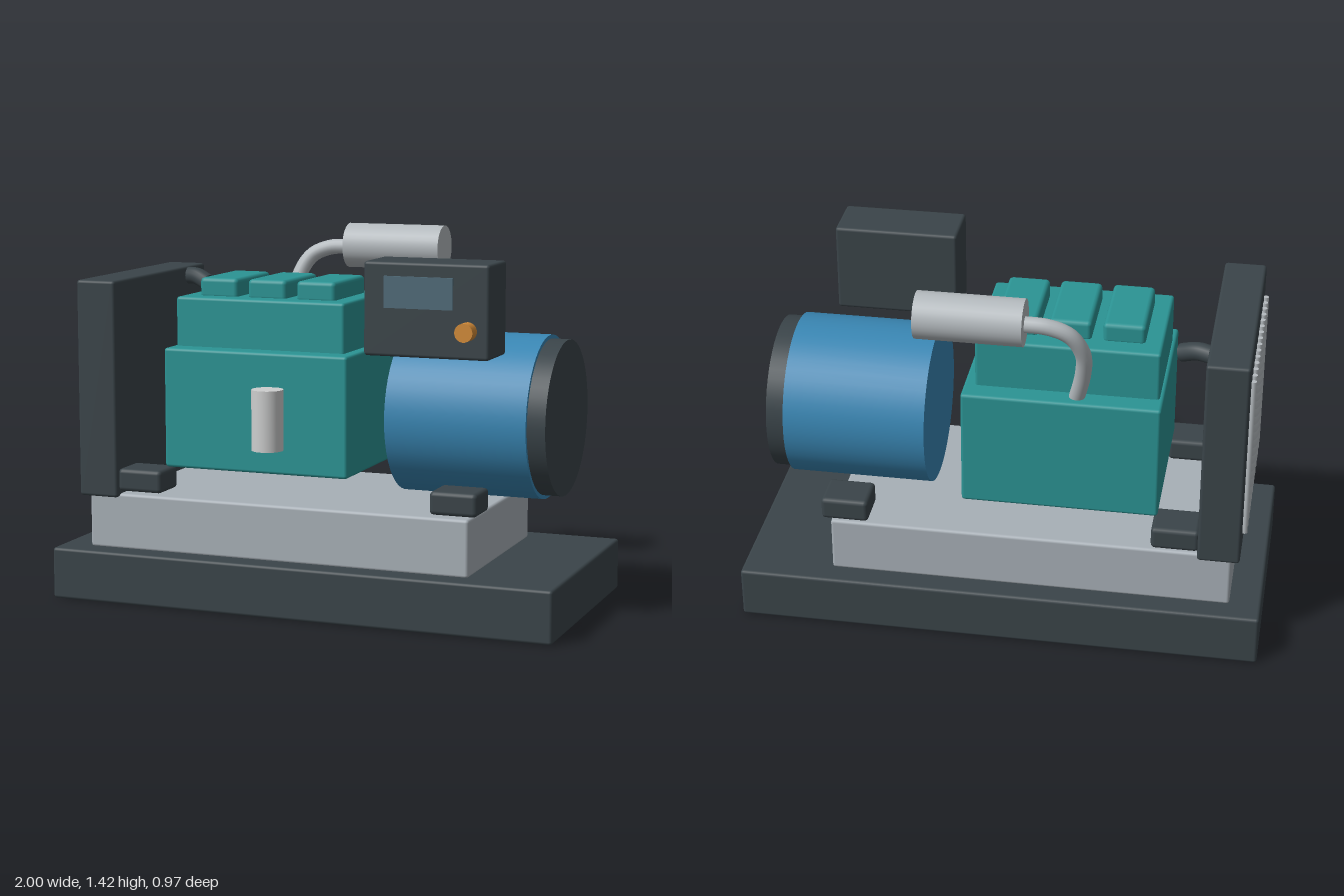
import * as THREE from 'three';
import { RoundedBoxGeometry } from 'three/addons/geometries/RoundedBoxGeometry.js';

const Z0 = -0.007; // centre line of the machine

const mat = (name, color) => {
  const m = new THREE.MeshStandardMaterial({ color });
  m.name = name;
  return m;
};

export function createModel() {
  const dark = mat('charcoal', 0x3a4449);
  const teal = mat('teal', 0x2b9494);
  const blue = mat('blue', 0x3986b3);
  const steel = mat('steel', 0xa8b0b7);
  const pipeGrey = mat('exhaust grey', 0xb4babe);
  const pale = mat('pale grey', 0xcdcece);
  const glass = mat('display', 0x4f6a77);
  const orange = mat('orange', 0xd18a38);

  const model = new THREE.Group();
  model.name = 'generator';

  const add = (name, geometry, material, x = 0, y = 0, z = 0) => {
    const mesh = new THREE.Mesh(geometry, material);
    mesh.name = name;
    mesh.position.set(x, y, z);
    model.add(mesh);
    return mesh;
  };
  // Softened box given by its limits in x, y and z
  const box = (name, material, [x0, x1], [y0, y1], [z0, z1], r = 0.012) =>
    add(name, new RoundedBoxGeometry(x1 - x0, y1 - y0, z1 - z0, 2, r), material,
      (x0 + x1) / 2, (y0 + y1) / 2, (z0 + z1) / 2);
  const centred = (half) => [Z0 - half, Z0 + half];
  // Cylinder lying along x
  const drum = (name, material, x0, x1, y, z, r, sides = 48) =>
    add(name, new THREE.CylinderGeometry(r, r, x1 - x0, sides).rotateZ(Math.PI / 2),
      material, (x0 + x1) / 2, y, z);
  const tube = (name, material, points, r) => {
    const curve = new THREE.CatmullRomCurve3(points.map((p) => new THREE.Vector3(...p)));
    add(name, new THREE.TubeGeometry(curve, 32, r, 16), material);
    // Closed ends
    for (const [t, sign] of [[0, -1], [1, 1]]) {
      const end = curve.getPoint(t);
      const disc = add(name + 'End', new THREE.CircleGeometry(r, 16), material, end.x, end.y, end.z);
      disc.lookAt(end.clone().addScaledVector(curve.getTangent(t), sign));
    }
  };

  // Skid and bed
  box('base', dark, [-1, 1], [0, 0.2], centred(0.478));
  box('bed', steel, [-0.88, 0.655], [0.195, 0.413], centred(0.387));

  // Rubber mounts
  for (const x of [-0.665, 0.597])
    for (const side of [-1, 1]) {
      const z = Z0 + side * 0.318;
      box('mount', dark, [x - 0.091, x + 0.091], [0.424, 0.512], [z - 0.078, z + 0.078], 0.017);
    }

  // Engine
  box('engineBlock', teal, [-0.59, 0.157], [0.517, 0.978], centred(0.32));
  box('cylinderHead', teal, [-0.575, 0.115], [0.96, 1.167], centred(0.238));
  for (const x of [-0.43, -0.23, -0.03])
    box('valveCover', teal, [x - 0.079, x + 0.079], [1.155, 1.236], centred(0.163), 0.017);
  add('oilFilter', new THREE.CylinderGeometry(0.06, 0.06, 0.23, 32), pale, -0.138, 0.735, 0.37);

  // Radiator with upright grille bars and a coolant hose
  box('radiator', dark, [-0.911, -0.751], [0.4, 1.235], centred(0.413));
  const bars = 15;
  for (let i = 0; i < bars; i++)
    add('grilleBar', new THREE.CylinderGeometry(0.011, 0.011, 0.65, 10), pipeGrey,
      -0.919, 0.815, Z0 + (i / (bars - 1) - 0.5) * 0.655);
  tube('coolantHose', dark,
    [[-0.78, 1.195, -0.275], [-0.71, 1.198, -0.25], [-0.647, 1.175, -0.225]], 0.034);

  // Exhaust pipe and muffler
  tube('exhaustPipe', pipeGrey, [
    [-0.265, 0.95, -0.258], [-0.298, 1.1, -0.306], [-0.3, 1.2, -0.34],
    [-0.255, 1.285, -0.368], [-0.18, 1.32, -0.38], [-0.08, 1.326, -0.382]], 0.03);
  drum('muffler', pipeGrey, -0.095, 0.302, 1.332, -0.381, 0.088, 32);

  // Alternator
  drum('alternator', blue, 0.3, 0.843, 0.747, Z0, 0.308);
  drum('alternatorEnd', dark, 0.84, 0.912, 0.747, Z0, 0.293);

  // Control panel
  box('controlPanel', dark, [0.267, 0.742], [1.005, 1.348], [0.223, 0.432]);
  add('display', new THREE.BoxGeometry(0.26, 0.115, 0.009), glass, 0.478, 1.24, 0.4365);
  add('knob', new THREE.CylinderGeometry(0.034, 0.034, 0.06, 24).rotateX(Math.PI / 2),
    orange, 0.664, 1.109, 0.455);

  return model;
}
